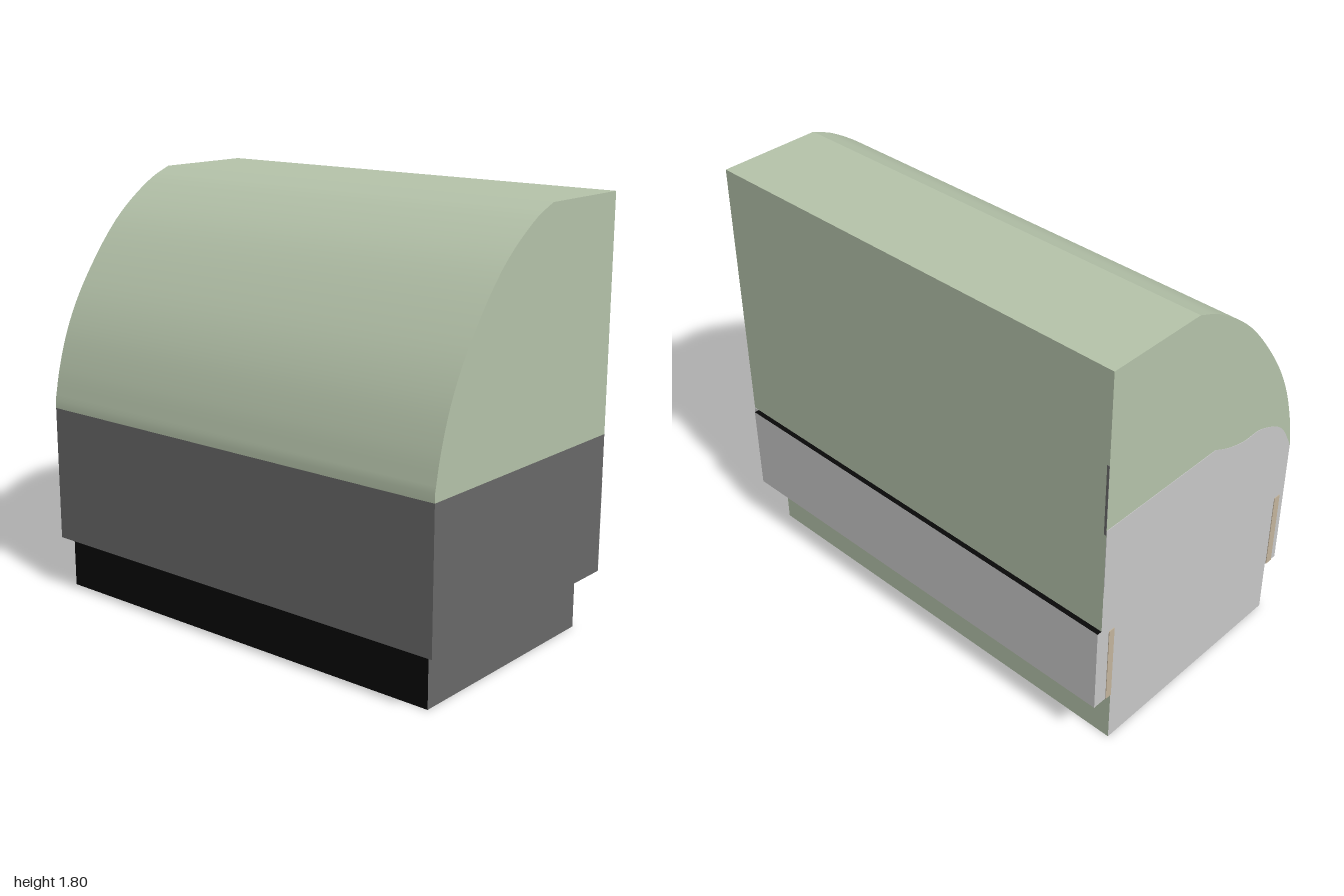
import * as THREE from 'three';
import { toCreasedNormals } from 'three/addons/utils/BufferGeometryUtils.js';

export function createModel() {
  const model = new THREE.Group();
  const mat = (name, color) => {
    const m = new THREE.MeshStandardMaterial({ color });
    m.name = name;
    return m;
  };
  const green = mat('sage green', 0xb5c3aa);
  const dark = mat('dark grey', 0x686868);
  const light = mat('light grey', 0xc8c8c8);
  const black = mat('black', 0x080808);
  const tan = mat('tan', 0xc3b49c);
  const teal = mat('teal', 0x0a7080);

  const add = (name, geometry, material) => {
    const mesh = new THREE.Mesh(geometry, material);
    mesh.name = name;
    model.add(mesh);
    return mesh;
  };
  // Box from its limits; materials run +x, -x, top, bottom, front, back
  const block = (name, [x0, x1], [y0, y1], [z0, z1], material) =>
    add(name, new THREE.BoxGeometry(x1 - x0, y1 - y0, z1 - z0), material)
      .position.set((x0 + x1) / 2, (y0 + y1) / 2, (z0 + z1) / 2);

  const L = -0.59, R = 0.563, SPLIT = 0.825;

  // Base and lower body
  block('base', [-0.52, 0.49], [0, 0.24], [-1, 0.935], [green, black, green, green, dark, light]);
  block('lowerBody', [L, R], [0.24, SPLIT], [-1, 1], [green, dark, green, green, dark, light]);

  // Upper body with one rounded shoulder
  const shoulder = new THREE.CatmullRomCurve3([
    [L, 0.86], [-0.56, 1.0], [-0.5, 1.176], [-0.4, 1.357], [-0.2, 1.605], [0, 1.752], [0.11, 1.8],
  ].map(([x, y]) => new THREE.Vector3(x, y, 0)));
  const profile = new THREE.Shape([
    new THREE.Vector2(L, SPLIT), new THREE.Vector2(R, SPLIT), new THREE.Vector2(R, 1.8),
    ...shoulder.getPoints(32).reverse().map((p) => new THREE.Vector2(p.x, p.y)),
  ]);
  const upper = new THREE.ExtrudeGeometry(profile, { depth: 2, bevelEnabled: false });
  upper.translate(0, 0, -1);
  add('upperBody', toCreasedNormals(upper, 0.35), green);

  // Wavy-topped panel on the back
  const wave = new THREE.Shape();
  wave.moveTo(L, SPLIT);
  wave.lineTo(R, SPLIT);
  wave.lineTo(R, 1.12);
  wave.lineTo(-0.06, 1.12);
  wave.splineThru([[-0.15, 1.08], [-0.25, 1.055], [-0.36, 1.05], [-0.5, 0.98], [-0.58, 0.86]]
    .map(([x, y]) => new THREE.Vector2(x, y)));
  const panel = new THREE.ExtrudeGeometry(wave, { depth: 0.002, bevelEnabled: false });
  panel.translate(0, 0, -1.002);
  add('backPanel', panel, light);

  // Side rail and the painted corner in front of it
  block('sideRail', [R, 0.585], [0.24, 0.63], [-1, 0.975], [light, light, black, teal, light, light]);
  block('railCorner', [R, R + 0.002], [0.24, 0.63], [0.975, 1], light);

  // Narrow upright marks on the back
  for (const [x0, x1] of [[0.49, 0.52], [-0.56, -0.525]]) {
    block('backMark', [x0, x1], [0.24, 0.6], [-1.003, -1], tan);
  }
  // Dark sliver at the rear edge
  block('edgeMark', [R, R + 0.002], [1.1, 1.41], [-1, -0.99], dark);

  return model;
}
